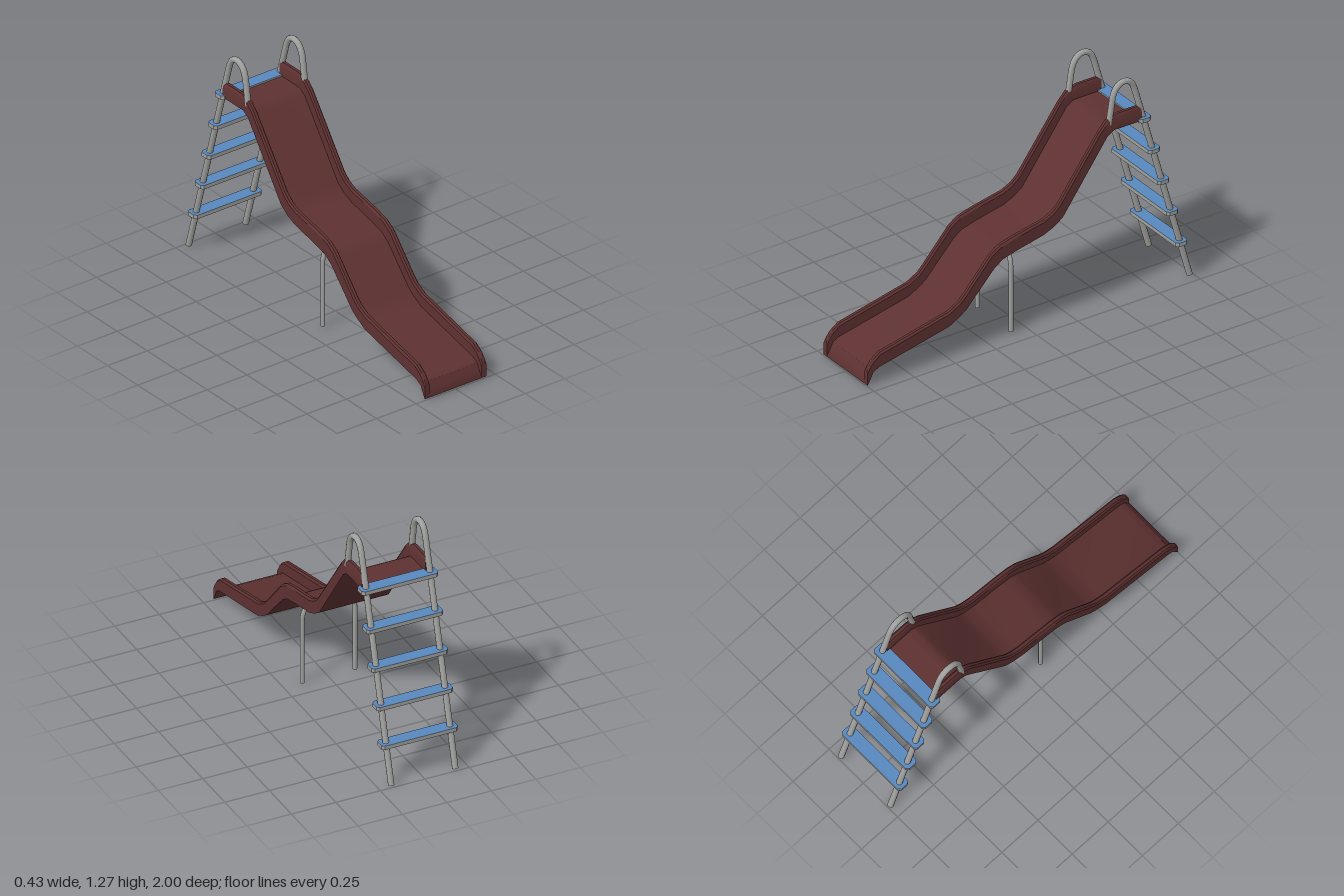
import * as THREE from 'three';
import { toCreasedNormals } from 'three/addons/utils/BufferGeometryUtils.js';

const chuteRed = new THREE.MeshStandardMaterial({ color: 0x5e3131 });
chuteRed.name = 'chuteRed';
const steel = new THREE.MeshStandardMaterial({ color: 0xa0a09e });
steel.name = 'steelGrey';
const stepBlue = new THREE.MeshStandardMaterial({ color: 0x5888bd });
stepBlue.name = 'stepBlue';

// Side profile of the chute: [bottom z, bottom y, top z, top y]
const PROFILE = [
  [1.0, 0.015, 1.0, 0.095], [0.978, 0.055, 0.985, 0.12], [0.965, 0.082, 0.965, 0.147],
  [0.93, 0.10, 0.92, 0.18], [0.50, 0.195, 0.50, 0.275], [0.435, 0.23, 0.435, 0.31],
  [0.395, 0.258, 0.40, 0.345], [0.22, 0.445, 0.24, 0.525], [0.17, 0.478, 0.185, 0.56],
  [0.09, 0.50, 0.10, 0.583], [-0.08, 0.537, -0.08, 0.62], [-0.14, 0.563, -0.135, 0.645],
  [-0.195, 0.60, -0.175, 0.68], [-0.47, 0.98, -0.43, 1.025], [-0.51, 1.005, -0.47, 1.068],
  [-0.55, 1.005, -0.535, 1.09], [-0.68, 1.005, -0.68, 1.09],
];

// U-shaped section: [x, share of the wall height]
const HALF = [[-0.195, 0], [-0.195, 0.86], [-0.187, 1], [-0.171, 1], [-0.163, 0.86], [-0.163, 0.1]];
const SECTION = [...HALF, ...HALF.map(([x, t]) => [-x, t]).reverse()];

function chuteGeometry() {
  const pos = [], index = [], n = SECTION.length;
  for (const [zb, yb, zt, yt] of PROFILE) {
    for (const [x, t] of SECTION) pos.push(x, yb + (yt - yb) * t, zb + (zt - zb) * t);
  }
  for (let i = 0; i < PROFILE.length - 1; i++) {
    for (let j = 0; j < n; j++) {
      const a = i * n + j, b = i * n + (j + 1) % n;
      index.push(a, b, a + n, b, b + n, a + n);
    }
  }
  // End faces: two walls and the floor between them
  const cap = [[0, 6, 5], [0, 11, 6]];
  for (let k = 1; k < 5; k++) cap.push([0, k + 1, k], [11, k + 6, k + 5]);
  const last = (PROFILE.length - 1) * n;
  for (const [a, b, c] of cap) index.push(a, b, c, last + a, last + c, last + b);
  const g = new THREE.BufferGeometry();
  g.setAttribute('position', new THREE.Float32BufferAttribute(pos, 3));
  g.setIndex(index);
  return toCreasedNormals(g, 0.6);
}

// Pipe through points, with rounded corners and flat ends
function pipe(name, points, radius, bend) {
  const pts = points.map((p) => new THREE.Vector3(...p));
  const path = new THREE.CurvePath();
  let from = pts[0];
  for (let i = 1; i < pts.length - 1; i++) {
    const p = pts[i];
    const near = (q) => p.clone().add(q.clone().sub(p).setLength(Math.min(bend, p.distanceTo(q) * 0.49)));
    const a = near(pts[i - 1]), b = near(pts[i + 1]);
    path.add(new THREE.LineCurve3(from, a));
    path.add(new THREE.QuadraticBezierCurve3(a, p, b));
    from = b;
  }
  path.add(new THREE.LineCurve3(from, pts[pts.length - 1]));
  const group = new THREE.Group();
  group.name = name;
  group.add(new THREE.Mesh(new THREE.TubeGeometry(path, 80, radius, 10), steel));
  for (const t of [0, 1]) {
    const end = new THREE.Mesh(new THREE.CircleGeometry(radius, 10), steel);
    const dir = path.getTangent(t).multiplyScalar(t ? 1 : -1);
    end.position.copy(path.getPoint(t));
    end.quaternion.setFromUnitVectors(new THREE.Vector3(0, 0, 1), dir);
    group.add(end);
  }
  group.children.forEach((m) => { m.name = name + 'Part'; });
  return group;
}

// Flat tread with clipped corners
function stepGeometry() {
  const w = 0.215, d = 0.036, c = 0.014, h = 0.022;
  const shape = new THREE.Shape([
    [-w + c, -d], [w - c, -d], [w, -d + c], [w, d - c],
    [w - c, d], [-w + c, d], [-w, d - c], [-w, -d + c],
  ].map(([x, y]) => new THREE.Vector2(x, y)));
  const g = new THREE.ExtrudeGeometry(shape, { depth: h, bevelEnabled: false });
  return g.translate(0, 0, -h / 2).rotateX(-Math.PI / 2);
}

export function createModel() {
  const model = new THREE.Group();
  model.name = 'playgroundSlide';

  const chute = new THREE.Mesh(chuteGeometry(), chuteRed);
  chute.name = 'chute';
  model.add(chute);

  // Ladder poles that curl over into the handrails
  for (const [side, x] of [['left', 0.18], ['right', -0.18]]) {
    model.add(pipe(side + 'LadderPole', [
      [x, 0.012, -0.982], [x, 1.225, -0.637], [x, 1.258, -0.605],
      [x, 1.258, -0.555], [x, 1.215, -0.515], [x, 1.04, -0.488],
    ], 0.0165, 0.05));
  }

  // Ladder steps: blue faces, grey rims
  const tread = stepGeometry();
  for (let i = 0; i < 5; i++) {
    const step = new THREE.Mesh(tread, [stepBlue, steel]);
    step.name = 'step' + (i + 1);
    step.position.set(0, 0.221 + i * 0.1975, -0.918 + i * 0.0558);
    model.add(step);
  }

  // Arched support under the middle of the chute
  model.add(pipe('supportArch', [
    [-0.148, 0.015, 0.09], [-0.148, 0.488, 0.09], [0.148, 0.488, 0.09], [0.148, 0.015, 0.09],
  ], 0.0125, 0.11));

  return model;
}
